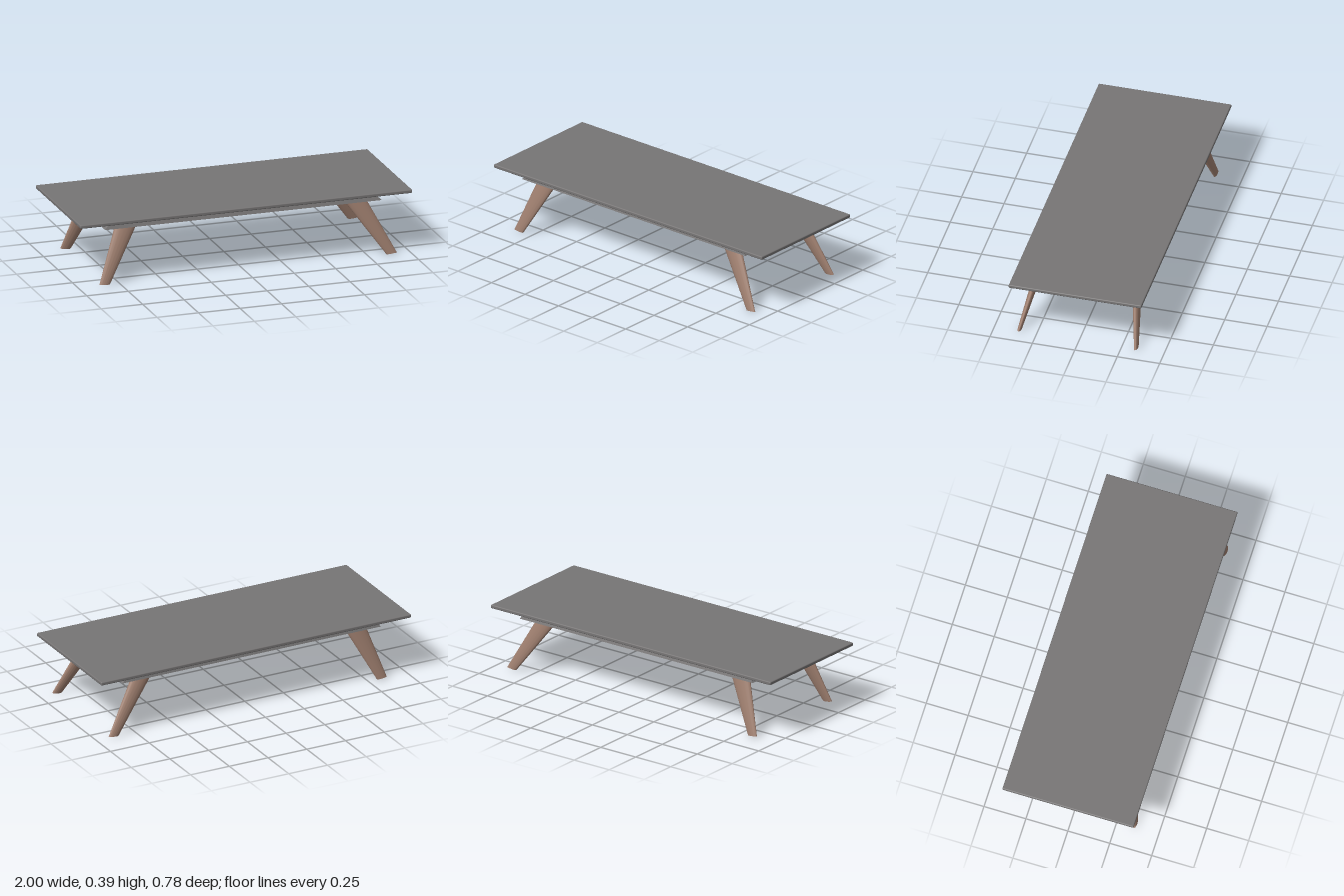
import * as THREE from 'three';
import { mergeVertices, toCreasedNormals } from 'three/addons/utils/BufferGeometryUtils.js';
import { RoundedBoxGeometry } from 'three/addons/geometries/RoundedBoxGeometry.js';

const TOP_UNDERSIDE = 0.365;

// Tapered oval leg running from a foot centre to a head centre, both [x, z]
function legGeometry(foot, head) {
  const geo = new THREE.CylinderGeometry(1, 1, 1, 32, 1);
  const pos = geo.attributes.position;
  for (let i = 0; i < pos.count; i++) {
    const t = pos.getY(i) + 0.5;
    const cx = pos.getX(i), cz = pos.getZ(i);
    // the sole is cut nearly square to the leg, so its outer rim lifts slightly
    const lift = 0.004 + 0.003 * cx * Math.sign(foot[0]) + 0.0025 * cz * Math.sign(foot[1]);
    pos.setXYZ(i,
      THREE.MathUtils.lerp(foot[0], head[0], t) + cx * THREE.MathUtils.lerp(0.031, 0.07, t),
      THREE.MathUtils.lerp(lift, TOP_UNDERSIDE + 0.003, t),
      THREE.MathUtils.lerp(foot[1], head[1], t) + cz * THREE.MathUtils.lerp(0.011, 0.027, t));
  }
  geo.deleteAttribute('normal');
  geo.deleteAttribute('uv');
  return toCreasedNormals(mergeVertices(geo, 1e-5), 0.6);
}

function rectangle(path, x, z) {
  path.moveTo(-x, -z);
  path.lineTo(x, -z);
  path.lineTo(x, z);
  path.lineTo(-x, z);
  path.closePath();
  return path;
}

// Thin rectangular frame whose walls flare outward toward the floor
function apronGeometry() {
  const height = 0.04, bottom = 0.325;
  const shape = rectangle(new THREE.Shape(), 0.833, 0.339);
  shape.holes.push(rectangle(new THREE.Path(), 0.813, 0.329));
  const geo = new THREE.ExtrudeGeometry(shape, { depth: height, bevelEnabled: false });
  geo.rotateX(-Math.PI / 2);
  const pos = geo.attributes.position;
  for (let i = 0; i < pos.count; i++) {
    const s = 1 - 0.046 * pos.getY(i) / height;
    pos.setXYZ(i, pos.getX(i) * s, pos.getY(i) + bottom, pos.getZ(i) * s);
  }
  geo.computeVertexNormals();
  return geo;
}

export function createModel() {
  const model = new THREE.Group();
  model.name = 'lowTable';
  const grey = new THREE.MeshStandardMaterial({ color: 0x777575 });
  const wood = new THREE.MeshStandardMaterial({ color: 0xa08070 });

  const add = (name, geometry, material) => {
    const mesh = new THREE.Mesh(geometry, material);
    mesh.name = name;
    model.add(mesh);
  };

  // Slab with softly rounded edges
  const slab = new RoundedBoxGeometry(2, 0.021, 0.782, 3, 0.006);
  slab.translate(0, TOP_UNDERSIDE + 0.0105, 0);
  add('tableTop', slab, grey);

  add('apron', apronGeometry(), grey);

  // Legs: foot and head centres, each splayed a little differently
  const legs = [
    ['frontLeftLeg', [0.888, 0.354], [0.664, 0.274]],
    ['frontRightLeg', [-0.842, 0.354], [-0.67, 0.274]],
    ['backLeftLeg', [0.892, -0.334], [0.655, -0.277]],
    ['backRightLeg', [-0.836, -0.343], [-0.68, -0.265]],
  ];
  for (const [name, foot, head] of legs) add(name, legGeometry(foot, head), wood);

  return model;
}
